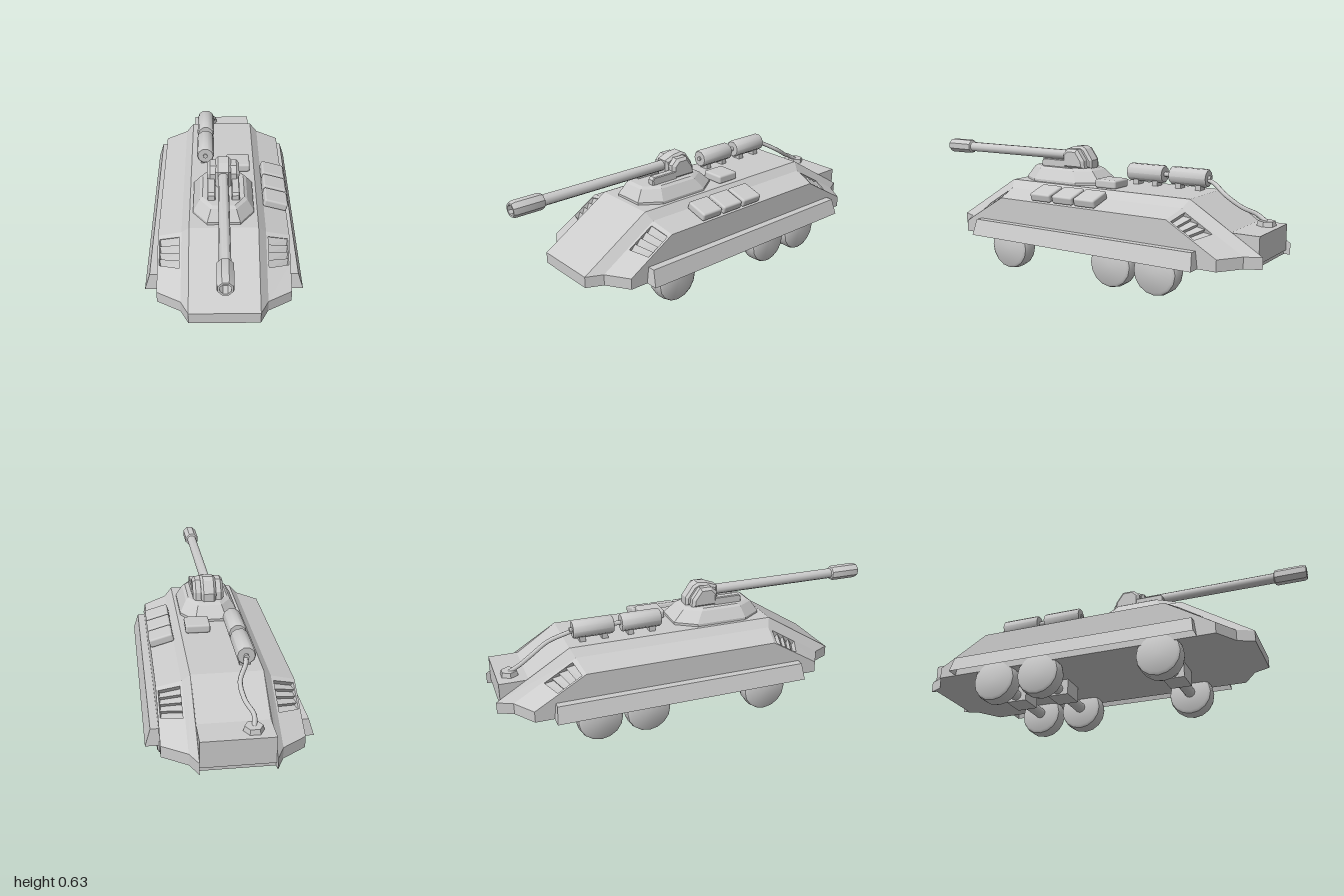
import * as THREE from 'three';
import { toCreasedNormals } from 'three/addons/utils/BufferGeometryUtils.js';
import { RoundedBoxGeometry } from 'three/addons/geometries/RoundedBoxGeometry.js';

const flat = new THREE.MeshStandardMaterial({ color: 0xcccccc, flatShading: true });
const thin = new THREE.MeshStandardMaterial({ color: 0xcccccc, flatShading: true, side: THREE.DoubleSide });
const smooth = new THREE.MeshStandardMaterial({ color: 0xcccccc });
const V = (x, y, z) => new THREE.Vector3(x, y, z);

// Collects polygons given as counter-clockwise corner lists
class Faces {
  constructor() { this.pos = []; }
  add(...p) {
    for (let i = 1; i < p.length - 1; i++) {
      for (const q of [p[0], p[i], p[i + 1]]) this.pos.push(q.x, q.y, q.z);
    }
  }
  build() {
    const g = new THREE.BufferGeometry();
    g.setAttribute('position', new THREE.Float32BufferAttribute(this.pos, 3));
    g.computeVertexNormals();
    return g;
  }
}

// Panel a-b-c-d with a recessed louvred opening between heights v0 and v1
function ventPanel(f, a, b, c, d, v0, v1) {
  const n = b.clone().sub(a).cross(d.clone().sub(a)).normalize();
  const P = (u, v, depth = 0) =>
    a.clone().lerp(b, u).lerp(d.clone().lerp(c, u), v).addScaledVector(n, -depth);
  const u0 = 0.08, u1 = 0.92, deep = 0.025;
  const hole = [P(u0, v0), P(u1, v0), P(u1, v1), P(u0, v1)];
  const floor = [P(u0, v0, deep), P(u1, v0, deep), P(u1, v1, deep), P(u0, v1, deep)];
  const outer = [a, b, c, d];
  for (let i = 0; i < 4; i++) {
    const j = (i + 1) % 4;
    f.add(outer[i], outer[j], hole[j], hole[i]);
    f.add(hole[i], hole[j], floor[j], floor[i]);
  }
  for (let k = 0; k < 4; k++) {
    const s = v0 + (v1 - v0) * k / 4, e = v0 + (v1 - v0) * (k + 1) / 4;
    f.add(P(u0, s, deep), P(u1, s, deep), P(u1, e, 0.005), P(u0, e, 0.005));
    f.add(P(u0, e, 0.005), P(u1, e, 0.005), P(u1, e, deep), P(u0, e, deep));
  }
}

// Hull from lengthwise profiles placed at several widths
function hullGeometry() {
  // half width, nose z, top front z, top y, top rear z, tail z
  const half = [
    [0.16, 0.75, 0.40, 0.44, -0.64, -0.97],
    [0.163, 0.75, 0.40, 0.44, -0.64, -1.0],
    [0.2, 0.67, 0.38, 0.402, -0.62, -0.925],
    [0.313, 0.6, 0.36, 0.366, -0.6, -0.85],
  ];
  const cols = [...half.slice().reverse().map(([x, ...r]) => [-x, ...r]), ...half]
    .map(([x, zn, zf, y, zb, zt]) => [
      V(x, 0.165, zn), V(x, 0.22, zn), V(x, y, zf), V(x, y, zb), V(x, 0.22, zt), V(x, 0.165, zt)]);
  const f = new Faces();
  for (let c = 0; c < cols.length - 1; c++) {
    const a = cols[c], b = cols[c + 1], outer = c === 0 || c === cols.length - 2;
    for (let i = 0; i < 6; i++) {
      const j = (i + 1) % 6, q = [a[i], b[i], b[j], a[j]];
      if (outer && i === 1) ventPanel(f, ...q, 0.47, 0.93);
      else if (outer && i === 3) ventPanel(f, ...q, 0.07, 0.53);
      else f.add(...q);
    }
  }
  f.add(...cols[0]);
  f.add(...cols[cols.length - 1].slice().reverse());
  return f.build();
}

// Hollow side skirt, open underneath
function skirtGeometry(s) {
  const ring = (e) => {
    const zb = e > 0 ? 0.51 : -0.76, zt = e > 0 ? 0.5 : -0.75;
    return [V(s * 0.313, 0.165, zb), V(s * 0.313, 0.245, zt), V(s * 0.35, 0.245, zt), V(s * 0.375, 0.165, zb)];
  };
  const a = ring(1), b = ring(-1), f = new Faces();
  f.add(...a);
  f.add(...b);
  for (let i = 1; i < 3; i++) f.add(a[i], a[i + 1], b[i + 1], b[i]);
  return f.build();
}

// Turret shell from stacked eight-sided rings
function turretGeometry() {
  // y, half width, half width of ends, rear z, front z, corner length
  const rings = [
    [0.435, 0.146, 0.078, -0.085, 0.375, 0.1],
    [0.452, 0.146, 0.078, -0.085, 0.375, 0.1],
    [0.505, 0.114, 0.06, -0.03, 0.34, 0.08],
    [0.515, 0.1, 0.052, -0.012, 0.325, 0.075],
  ].map(([y, w, e, r, t, c]) => [
    [-e, t], [e, t], [w, t - c], [w, r + c], [e, r], [-e, r], [-w, r + c], [-w, t - c],
  ].map(([x, z]) => V(x, y, z)));
  const f = new Faces();
  for (let k = 0; k < 3; k++) {
    for (let i = 0; i < 8; i++) {
      const j = (i + 1) % 8;
      f.add(rings[k][i], rings[k][j], rings[k + 1][j], rings[k + 1][i]);
    }
  }
  f.add(...rings[3]);
  return f.build();
}

// Plate cut to a (z, y) side outline, with bevelled flanks
function sidePlate(points, width, x, bevel) {
  const shape = new THREE.Shape(points.map(([z, y]) => new THREE.Vector2(z, y)));
  const g = new THREE.ExtrudeGeometry(shape, {
    depth: width - 2 * bevel, bevelEnabled: bevel > 0, bevelSize: bevel, bevelThickness: bevel,
    bevelOffset: -bevel, bevelSegments: 1 });
  g.translate(0, 0, -width / 2 + bevel);
  return g.rotateY(-Math.PI / 2).translate(x, 0, 0);
}

// Lathe profile of [radius, position] turned along the x or z axis
function turned(points, sides, axis, crease = 0.6) {
  const g = new THREE.LatheGeometry(points.map(([r, t]) => new THREE.Vector2(r, t)), sides);
  if (axis === 'x') g.rotateZ(-Math.PI / 2);
  else g.rotateY(Math.PI / sides).rotateX(Math.PI / 2);
  return toCreasedNormals(g, crease);
}

export function createModel() {
  const model = new THREE.Group();
  const add = (name, geo, mat = flat, x = 0, y = 0, z = 0, parent = model) => {
    const m = new THREE.Mesh(geo, mat);
    m.name = name;
    m.position.set(x, y, z);
    parent.add(m);
    return m;
  };

  add('hull', hullGeometry());
  add('leftSkirt', skirtGeometry(1), thin);
  add('rightSkirt', skirtGeometry(-1), thin);
  add('rearEngineBox', new THREE.BoxGeometry(0.322, 0.125, 0.14), flat, 0, 0.2475, -0.91);

  // Three axles, each with a gearbox and two wheels
  const tyre = turned([[0, -0.047], [0.095, -0.047], [0.108, -0.038], [0.113, -0.02],
    [0.113, 0.02], [0.108, 0.038], [0.095, 0.047], [0, 0.047]], 16, 'x', 0.65);
  for (const z of [0.32, -0.3, -0.54]) {
    const axle = new THREE.Group();
    axle.name = 'axleAssembly';
    axle.position.z = z;
    model.add(axle);
    add('axle', new THREE.CylinderGeometry(0.028, 0.028, 0.46, 12).rotateZ(Math.PI / 2), smooth, 0, 0.117, 0, axle);
    add('gearbox', new THREE.BoxGeometry(0.13, 0.085, 0.11), flat, 0, 0.1275, 0, axle);
    for (const s of [-1, 1]) add('wheel', tyre, smooth, s * 0.267, 0.113, 0, axle);
  }

  // Turret with gun mount
  add('turret', turretGeometry());
  add('gunMount', sidePlate([[0.165, 0.51], [0.165, 0.6], [0.11, 0.62], [0.06, 0.626], [0.035, 0.612],
    [-0.005, 0.555], [-0.005, 0.51]], 0.076, 0, 0.012));
  for (const s of [-1, 1]) {
    add('mountCheek', sidePlate([[0.15, 0.51], [0.15, 0.58], [0.12, 0.61], [0.06, 0.61],
      [0.02, 0.555], [0.015, 0.51]], 0.06, s * 0.048, 0.014));
    add('mountRail', sidePlate([[0.28, 0.51], [0.28, 0.54], [0.27, 0.553], [0.13, 0.553], [0.13, 0.51]],
      0.038, s * 0.058, 0.004));
  }

  // Gun barrel with hollow muzzle
  add('barrel', turned([[0, 0.1], [0.026, 0.1], [0.026, 0.86]], 10, 'z', 0.8), smooth, 0, 0.57, 0);
  add('muzzle', turned([[0.026, 0.84], [0.036, 0.845], [0.039, 0.855], [0.039, 0.985], [0.034, 1.0],
    [0.025, 1.0], [0.025, 0.95], [0, 0.95]], 8, 'z', 0.4), smooth, 0, 0.57, 0);

  // Stowage boxes on the left shoulder and roof
  const box = new RoundedBoxGeometry(0.12, 0.042, 0.12, 2, 0.01);
  for (const z of [0.108, -0.025, -0.155]) {
    add('stowageBox', box, smooth, 0.259, 0.407, z).rotation.z = -0.28;
  }
  add('roofBox', box, smooth, 0.08, 0.461, -0.16);

  // Twin canisters on feet, with a joining rod
  const canister = turned([[0, -0.1], [0.04, -0.1], [0.045, -0.094], [0.045, 0.094], [0.04, 0.1], [0, 0.1]], 10, 'z', 0.8);
  for (const z of [-0.267, -0.507]) {
    add('canister', canister, smooth, -0.09, 0.5, z);
    for (const d of [-0.055, 0.055]) {
      add('canisterFoot', new THREE.BoxGeometry(0.05, 0.04, 0.03), flat, -0.09, 0.452, z + d);
    }
  }
  add('canisterRod', new THREE.CylinderGeometry(0.012, 0.012, 0.46, 8).rotateX(Math.PI / 2), smooth, -0.09, 0.5, -0.39);

  // Hose down to the filler cap
  const hose = new THREE.CatmullRomCurve3([V(-0.09, 0.497, -0.59), V(-0.082, 0.48, -0.64),
    V(-0.045, 0.435, -0.72), V(-0.055, 0.385, -0.8), V(-0.082, 0.355, -0.865), V(-0.075, 0.325, -0.915)]);
  add('hose', new THREE.TubeGeometry(hose, 20, 0.011, 8), smooth);
  add('fillerCap', new THREE.CylinderGeometry(0.04, 0.046, 0.026, 6).rotateY(Math.PI / 6), flat, -0.073, 0.32, -0.915);

  return model;
}
